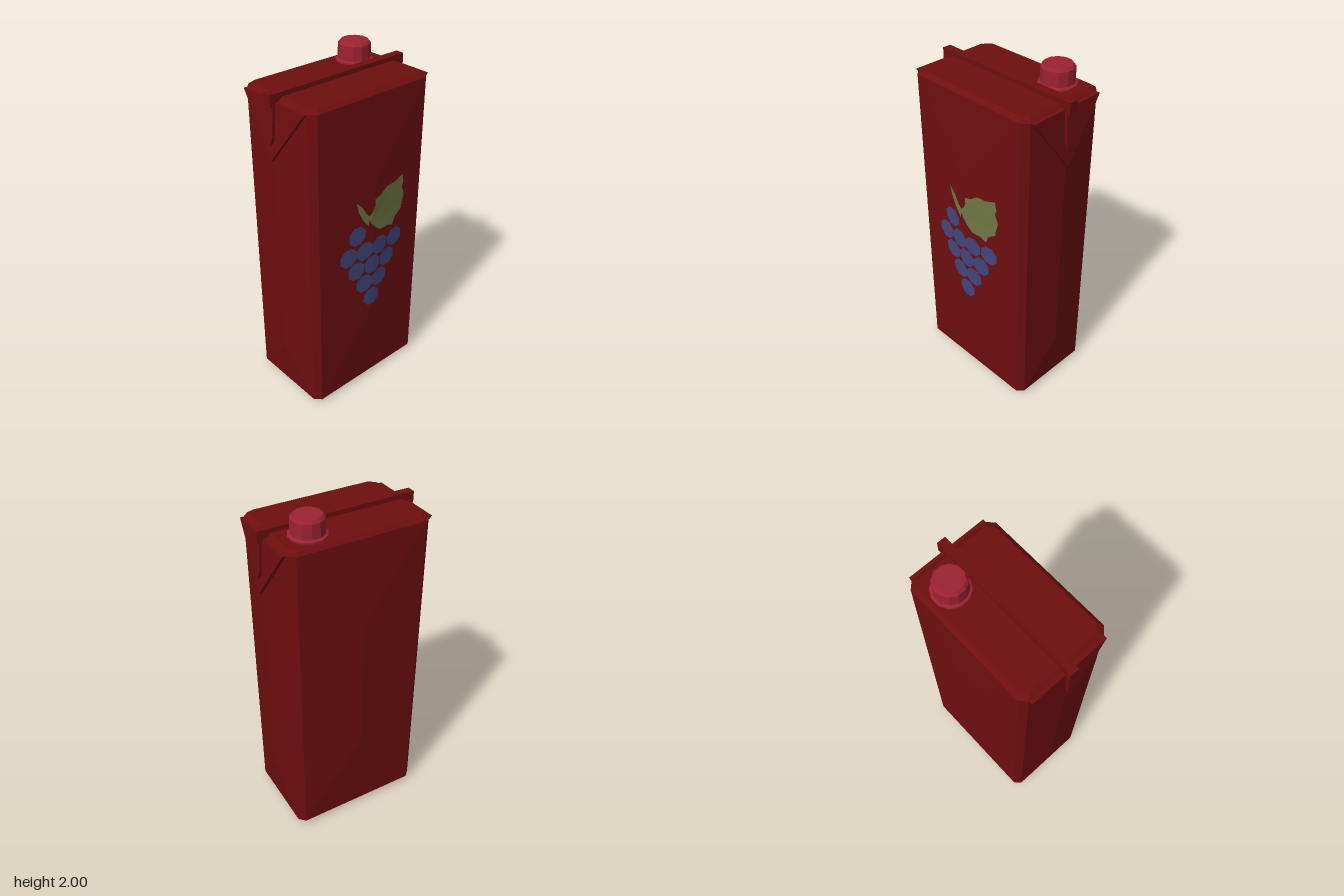
import * as THREE from 'three';

const mat = (name, color) => {
  const m = new THREE.MeshStandardMaterial({ color });
  m.name = name;
  return m;
};

// Hard-edged copy of a geometry
function facet(geo) {
  const g = geo.index ? geo.toNonIndexed() : geo;
  g.computeVertexNormals();
  return g;
}

// Eight-cornered outline with cut corners, counter-clockwise from above
function ring(hx, hz, cut, y) {
  const a = hx - cut, b = hz - cut;
  return [[a, hz], [hx, b], [hx, -b], [a, -hz], [-a, -hz], [-hx, -b], [-hx, b], [-a, hz]]
    .map(([x, z]) => [x, y, z]);
}

// Carton: chamfered box whose four walls swell to a vertical ridge
function cartonGeometry() {
  const pos = [];
  const face = (...p) => {
    for (let i = 1; i < p.length - 1; i++) pos.push(...p[0], ...p[i], ...p[i + 1]);
  };
  const base = ring(0.38, 0.245, 0.035, 0);
  const low = ring(0.405, 0.27, 0.035, 0.03);
  const high = ring(0.405, 0.27, 0.035, 1.87);
  const top = ring(0.38, 0.245, 0.035, 1.89);
  for (let i = 0; i < 8; i++) {
    const j = (i + 1) % 8;
    face(base[i], base[j], low[j], low[i]);
    face(high[i], high[j], top[j], top[i]);
    if (i % 2 === 0) {
      face(low[i], low[j], high[j], high[i]);
      continue;
    }
    const side = i === 1 || i === 5;
    const sign = i === 1 || i === 7 ? 1 : -1;
    const ridge = (y) => (side ? [0.43 * sign, y, 0] : [0, y, 0.295 * sign]);
    const r0 = ridge(side ? 0.33 : 0.55), r1 = ridge(side ? 1.55 : 1.38);
    face(low[i], low[j], r0);
    face(low[j], high[j], r1, r0);
    face(high[j], high[i], r1);
    face(high[i], low[i], r0, r1);
  }
  face(...top);
  face(...base.slice().reverse());
  const g = new THREE.BufferGeometry();
  g.setAttribute('position', new THREE.Float32BufferAttribute(pos, 3));
  return facet(g);
}

// Plate on the +x wall, drawn in (z, y) and leaning outward toward the bottom
function leaningPlate(points, x, depth, lean) {
  const shape = new THREE.Shape(points.map(([u, v]) => new THREE.Vector2(u, v)));
  const g = new THREE.ExtrudeGeometry(shape, { depth, bevelEnabled: false });
  g.rotateY(Math.PI / 2);
  const p = g.attributes.position;
  for (let i = 0; i < p.count; i++) p.setX(i, p.getX(i) + x + (1.87 - p.getY(i)) * lean);
  return facet(g);
}

// Lay a flat shape onto the ridged front wall
function ontoFront(geo) {
  const p = geo.attributes.position;
  for (let i = 0; i < p.count; i++) {
    p.setZ(i, 0.299 - 0.025 * Math.abs(p.getX(i)) / 0.37);
  }
  return facet(geo);
}

const outline = (pts) =>
  new THREE.ShapeGeometry(new THREE.Shape(pts.map(([x, y]) => new THREE.Vector2(x, y))));

export function createModel() {
  const model = new THREE.Group();
  model.name = 'drinkCarton';
  const red = mat('carton dark red', 0x6e0e0f);
  const capRed = mat('cap crimson', 0x9c2232);
  const green = mat('leaf green', 0x6f7745);
  const blue = mat('grape blue', 0x40467c);

  const add = (name, geo, material, parent = model) => {
    const m = new THREE.Mesh(geo, material);
    m.name = name;
    parent.add(m);
    return m;
  };

  add('cartonBody', cartonGeometry(), red);

  // Sealed seam across the top
  add('topSeam', new THREE.BoxGeometry(0.91, 0.065, 0.05), red).position.set(0, 1.8825, -0.004);

  // Folded triangular ear and hanging seam end on each side
  const ear = leaningPlate([[-0.235, 1.87], [0, 1.555], [0.235, 1.87]], 0.405, 0.02, 0.08);
  const seamEnd = leaningPlate(
    [[-0.024, 1.86], [-0.024, 1.69], [-0.016, 1.66], [0, 1.645], [0.016, 1.66], [0.024, 1.69], [0.024, 1.86]],
    0.42, 0.022, 0.075);
  ['left', 'right'].forEach((side, i) => {
    const fold = new THREE.Group();
    fold.name = side + 'Fold';
    fold.rotation.y = i * Math.PI;
    add(side + 'Ear', ear, red, fold);
    add(side + 'SeamEnd', seamEnd, red, fold);
    model.add(fold);
  });

  // Screw cap with a base flange
  const profile = [[0.103, 1.885], [0.103, 1.9], [0.09, 1.906], [0.089, 1.985], [0.076, 2], [0, 2]]
    .map(([r, y]) => new THREE.Vector2(r, y));
  add('screwCap', facet(new THREE.LatheGeometry(profile, 12, Math.PI / 12)), capRed)
    .position.set(0.235, 0, -0.134);

  // Bunch of grapes on the front
  const grapes = new THREE.Group();
  grapes.name = 'grapes';
  model.add(grapes);
  const rows = [[1.1, -0.12], [0.98, -0.18, -0.065, 0.045, 0.165], [0.87, -0.125, -0.01, 0.105],
    [0.76, -0.065, 0.047], [0.645, -0.01]];
  rows.forEach(([y, ...xs]) => xs.forEach((x) => {
    const disc = new THREE.CircleGeometry(0.061, 8, Math.PI / 8).translate(x, y, 0);
    add('grape', ontoFront(disc), blue, grapes);
  }));

  // Leaf and stem
  add('leaf', ontoFront(outline([
    [0.215, 1.36], [0.225, 1.31], [0.215, 1.28], [0.235, 1.23], [0.22, 1.18], [0.215, 1.145],
    [0.165, 1.11], [0.145, 1.065], [0.105, 1.08], [0.045, 1.08], [0.01, 1.11], [-0.025, 1.145],
    [-0.045, 1.19], [-0.015, 1.22], [0, 1.25], [0, 1.29], [0.04, 1.3], [0.09, 1.335], [0.145, 1.335],
  ])), green);
  add('stem', ontoFront(outline([
    [-0.13, 1.31], [-0.09, 1.27], [-0.06, 1.22], [-0.035, 1.19], [-0.045, 1.135], [-0.085, 1.19], [-0.115, 1.25],
  ])), green);

  return model;
}
